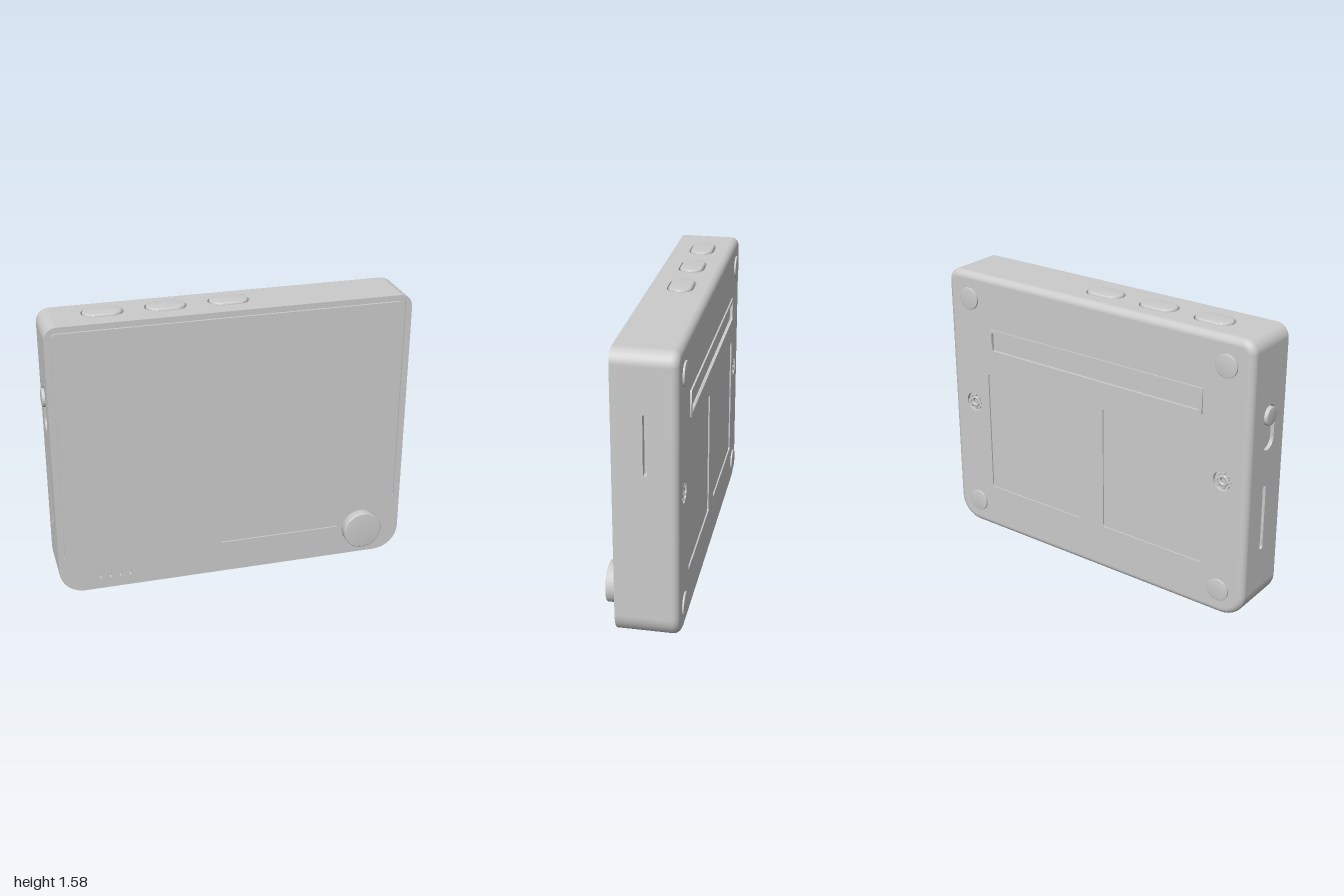
import * as THREE from 'three';
import { toCreasedNormals } from 'three/addons/utils/BufferGeometryUtils.js';

const grey = new THREE.MeshStandardMaterial({ color: 0xcccccc });
const greyDouble = new THREE.MeshStandardMaterial({ color: 0xcccccc, side: THREE.DoubleSide });

const FRONT = 0.13, BACK = -0.2, EDGE = 0.04, HEIGHT = 1.57;
const LEFT = 1, RIGHT = -0.985, R_TOP = 0.07, R_BOTTOM = 0.14, N = 9;

function add(parent, name, geo, x = 0, y = 0, z = 0, mat = grey) {
  const mesh = new THREE.Mesh(geo, mat);
  mesh.name = name;
  mesh.position.set(x, y, z);
  parent.add(mesh);
  return mesh;
}

// Rounded rectangle; by default the short ends are full semicircles
function rounded(cx, cy, w, h, r = Math.min(w, h) / 2) {
  const s = new THREE.Shape(), a = w / 2 - r, b = h / 2 - r, q = Math.PI / 2;
  s.absarc(cx + a, cy - b, r, -q, 0);
  s.absarc(cx + a, cy + b, r, 0, q);
  s.absarc(cx - a, cy + b, r, q, 2 * q);
  s.absarc(cx - a, cy - b, r, 2 * q, 3 * q);
  s.closePath();
  return s;
}

// Case outline with its four corner arcs, pulled in by an inset
function outline(inset) {
  const corners = [[LEFT, 0, R_BOTTOM, -1, 1], [LEFT, HEIGHT, R_TOP, -1, -1],
    [RIGHT, HEIGHT, R_TOP, 1, -1], [RIGHT, 0, R_BOTTOM, 1, 1]];
  const pts = [];
  corners.forEach(([x, y, r, sx, sy], k) => {
    for (let i = 0; i < N; i++) {
      const a = (k - 1 + i / (N - 1)) * Math.PI / 2;
      pts.push({ a, x: x + sx * r + (r - inset) * Math.cos(a), y: y + sy * r + (r - inset) * Math.sin(a) });
    }
  });
  return pts;
}

// Rounded corners of the case and the soft edge around its back
function caseEdges() {
  const rings = [[FRONT, 0]];
  for (let i = 0; i <= 6; i++) rings.push([BACK + EDGE, i / 6 * Math.PI / 2]);
  const pos = [], nor = [], idx = [], n = 4 * N;
  rings.forEach(([z, t], i) => {
    outline(EDGE * (1 - Math.cos(t))).forEach((p, j) => {
      pos.push(p.x, p.y, z - EDGE * Math.sin(t));
      nor.push(Math.cos(p.a) * Math.cos(t), Math.sin(p.a) * Math.cos(t), -Math.sin(t));
      // straight walls are separate faces
      if (i === rings.length - 1 || (i === 0 && j % N === N - 1)) return;
      const a = i * n + j, b = i * n + (j + 1) % n;
      idx.push(a, a + n, b, b, a + n, b + n);
    });
  });
  const g = new THREE.BufferGeometry();
  g.setAttribute('position', new THREE.Float32BufferAttribute(pos, 3));
  g.setAttribute('normal', new THREE.Float32BufferAttribute(nor, 3));
  g.setIndex(idx);
  return g;
}

// Walls of a pocket sunk below a face
function pocketWalls(shape, depth) {
  const pts = shape.getPoints(10), pos = [];
  pts.forEach((p, i) => {
    const q = pts[(i + 1) % pts.length];
    pos.push(p.x, p.y, 0, q.x, q.y, -depth, p.x, p.y, -depth, p.x, p.y, 0, q.x, q.y, 0, q.x, q.y, -depth);
  });
  const g = new THREE.BufferGeometry();
  g.setAttribute('position', new THREE.Float32BufferAttribute(pos, 3));
  g.computeVertexNormals();
  return g;
}

// Flat face, local +z outward, with sunk pockets given as [shape, depth]
function face(parent, name, shape, pockets, position, rotation) {
  const g = new THREE.Group();
  g.name = name;
  g.position.set(...position);
  g.rotation.set(...rotation);
  shape.holes = pockets.map(([s]) => s);
  add(g, name + 'Surface', new THREE.ShapeGeometry(shape, 10));
  for (const [s, depth] of pockets) {
    add(g, 'pocketWall', pocketWalls(s, depth), 0, 0, 0, greyDouble);
    add(g, 'pocketFloor', new THREE.ShapeGeometry(s, 10), 0, 0, -depth);
  }
  parent.add(g);
  return g;
}

// Solid from z0 to z1 with softened edges
function solid(parent, name, shape, z0, z1, bevel = 0.004) {
  const geo = new THREE.ExtrudeGeometry(shape, {
    depth: z1 - z0 - 2 * bevel, bevelEnabled: bevel > 0, bevelThickness: bevel,
    bevelSize: bevel, bevelOffset: -bevel, bevelSegments: 3, curveSegments: 10 });
  return add(parent, name, toCreasedNormals(geo, 0.6), 0, 0, z0 + bevel);
}

const rect = (x0, y0, x1, y1) => rounded((x0 + x1) / 2, (y0 + y1) / 2, x1 - x0, y1 - y0, 0.0005);
const outlineShape = inset => new THREE.Shape(outline(inset).map(p => new THREE.Vector2(p.x, p.y)));

export function createModel() {
  const model = new THREE.Group();
  model.name = 'pocketDevice';
  const Q = Math.PI / 2;
  add(model, 'caseEdges', caseEdges());

  // Front: fine seam around the panel, slits and dial
  const seam = new THREE.Shape();
  seam.moveTo(-0.955, 0.22);
  seam.lineTo(-0.955, 1.51);
  seam.quadraticCurveTo(-0.955, 1.54, -0.925, 1.54);
  seam.lineTo(0.935, 1.54);
  seam.quadraticCurveTo(0.965, 1.54, 0.965, 1.51);
  seam.lineTo(0.965, 0.35);
  seam.lineTo(0.958, 0.35);
  seam.lineTo(0.958, 1.505);
  seam.quadraticCurveTo(0.958, 1.533, 0.93, 1.533);
  seam.lineTo(-0.92, 1.533);
  seam.quadraticCurveTo(-0.948, 1.533, -0.948, 1.505);
  seam.lineTo(-0.948, 0.22);
  seam.closePath();
  const slits = [-0.76, -0.703, -0.647, -0.59].map(x => [rounded(x, 0.09, 0.014, 0.055), 0.02]);
  const front = face(model, 'front', outlineShape(0),
    [[seam, 0.012], [rect(-0.06, 0.186, 0.63, 0.191), 0.008], ...slits], [0, 0, FRONT], [0, 0, 0]);
  const stem = add(front, 'dialStem', new THREE.CylinderGeometry(0.055, 0.055, 0.04, 32), 0.755, 0.185, 0.01);
  stem.rotation.x = Q;
  solid(front, 'dial', rounded(0.755, 0.185, 0.22, 0.22), 0.025, 0.08, 0.005);

  // Back: two sunk panels, label frame, feet and screws (local x is mirrored)
  const screws = [-0.845, 0.835];
  const back = face(model, 'back',
    new THREE.Shape(outline(EDGE).map(p => new THREE.Vector2(-p.x, p.y)).reverse()), [
      [rounded(-0.405, 0.632, 0.65, 0.715, 0.015), 0.008],
      [rounded(0.405, 0.632, 0.65, 0.715, 0.015), 0.008],
      [rect(-0.685, 1.145, 0.685, 1.25), 0.008],
      ...screws.map(x => [rounded(x, 0.79, 0.11, 0.11), 0.02])], [0, 0, BACK], [0, Math.PI, 0]);
  const frame = rounded(0, 1.197, 1.41, 0.145, 0.008);
  frame.holes.push(rect(-0.685, 1.145, 0.685, 1.25));
  solid(back, 'labelFrame', frame, 0, 0.009, 0);
  for (const x of screws) {
    for (const y of [0.15, 1.42]) solid(back, 'foot', rounded(x, y, 0.126, 0.126), -0.005, 0.01, 0.003);
    const head = add(back, 'screwHead', new THREE.TorusGeometry(0.024, 0.01, 8, 24), x, 0.79, -0.012);
    for (let i = 0; i < 8; i++) {
      const a = i * Math.PI / 4;
      const tooth = add(head, 'screwTooth', new THREE.CylinderGeometry(0.008, 0.008, 0.02, 8),
        0.04 * Math.cos(a), 0.04 * Math.sin(a), 0);
      tooth.rotation.x = Q;
    }
  }

  // Top: three oval push buttons in close-fitting wells (local y is -z)
  const buttons = [-0.655, -0.32, 0.02];
  const top = face(model, 'top', rect(RIGHT + R_TOP, -FRONT, LEFT - R_TOP, -BACK - EDGE),
    buttons.map(x => [rounded(x, 0.033, 0.225, 0.14), 0.03]), [0, HEIGHT, 0], [-Q, 0, 0]);
  for (const x of buttons) solid(top, 'pushButton', rounded(x, 0.033, 0.211, 0.126), -0.03, 0.011, 0.01);

  // Left side: card slot (local x is -z)
  face(model, 'leftSide', rect(-FRONT, R_BOTTOM, -BACK - EDGE, HEIGHT - R_TOP),
    [[rounded(0.036, 1.098, 0.02, 0.32, 0.004), 0.04]], [LEFT, 0, 0], [0, Q, 0]);

  // Right side: sliding switch and long slot (local x is z)
  const right = face(model, 'rightSide', rect(BACK + EDGE, R_BOTTOM, FRONT, HEIGHT - R_TOP),
    [[rounded(-0.02, 1.065, 0.11, 0.25), 0.02], [rounded(-0.03, 0.553, 0.03, 0.375), 0.03]],
    [RIGHT, 0, 0], [0, -Q, 0]);
  solid(right, 'slideSwitch', rounded(-0.02, 1.13, 0.1, 0.1), -0.02, 0.015, 0.005);

  // Underside: two wide ports, a small oval port and two pin holes (local y is z)
  const ports = [-0.49, 0.49], pz = -0.055;
  const bottom = face(model, 'underside', rect(RIGHT + R_BOTTOM, BACK + EDGE, LEFT - R_BOTTOM, FRONT), [
    ...ports.map(x => [rounded(x, pz, 0.32, 0.14, 0.008), 0.2]),
    [rounded(0, pz, 0.23, 0.075), 0.1],
    ...[-0.22, 0.22].map(x => [rounded(x, pz, 0.024, 0.024), 0.03])], [0, 0, 0], [Q, 0, 0]);
  for (const x of ports) {
    const sleeve = rounded(x, pz, 0.316, 0.136, 0.008);
    sleeve.holes.push(rounded(x, pz, 0.29, 0.11, 0.006));
    solid(bottom, 'portSleeve', sleeve, -0.19, -0.004, 0);
    solid(bottom, 'portTongue', rect(x - 0.125, pz + 0.005, x + 0.125, pz + 0.045), -0.2, -0.02, 0);
    for (let i = 0; i < 4; i++) {
      add(bottom, 'portContact', new THREE.BoxGeometry(0.025, 0.01, 0.14), x - 0.084 + i * 0.056, pz + 0.002, -0.11);
    }
  }
  solid(bottom, 'smallPortTongue', rounded(0, pz, 0.16, 0.02), -0.1, -0.02, 0);
  return model;
}
